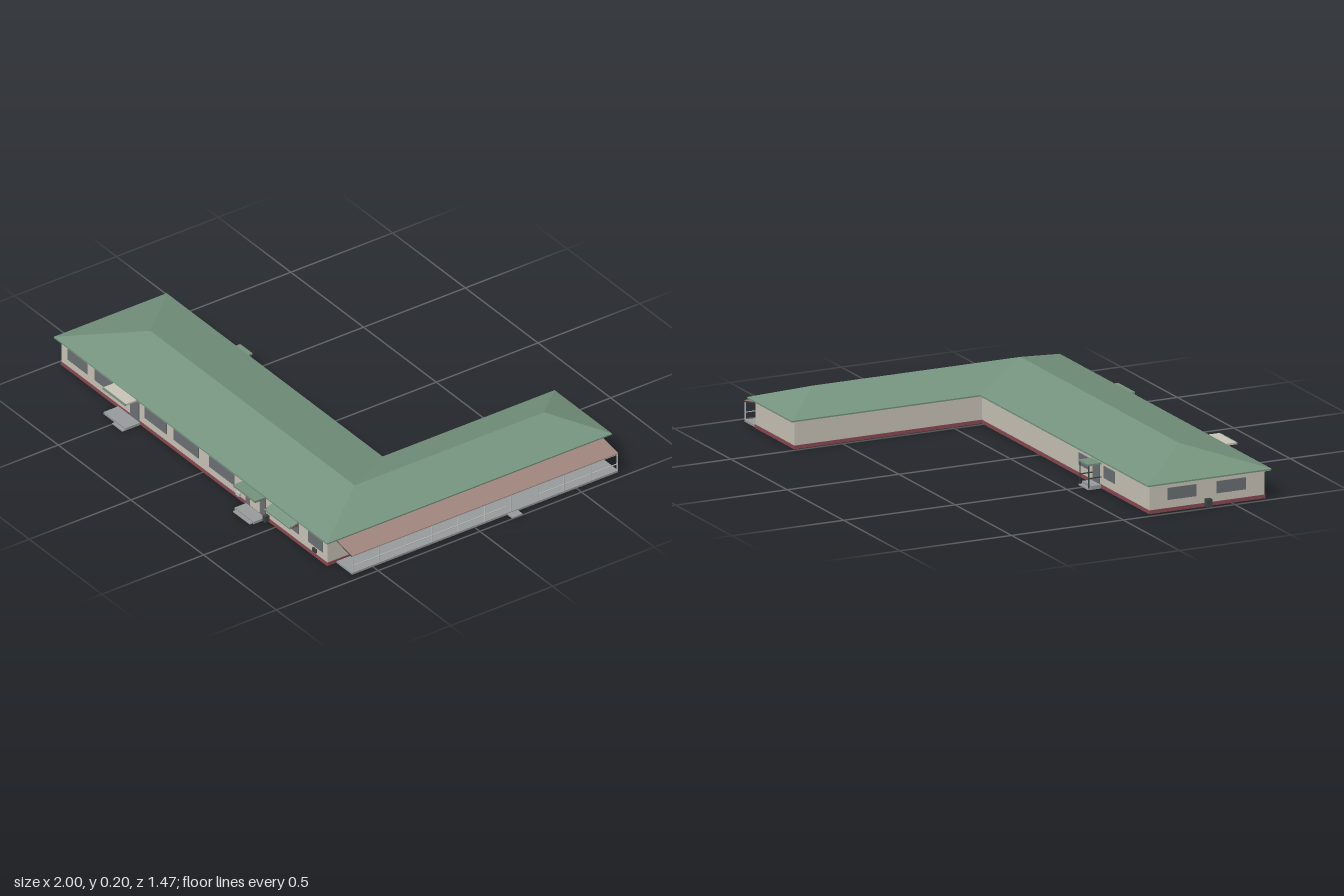
import * as THREE from 'three';

const mat = (name, color) => {
  const m = new THREE.MeshStandardMaterial({ color });
  m.name = name;
  return m;
};

export function createModel() {
  const group = new THREE.Group();
  const green = mat('roof green', 0x76957f);
  const wall = mat('wall cream', 0xcbc6b9);
  const glass = mat('window grey', 0x6d7276);
  const red = mat('plinth red', 0x8c4a53);
  const brown = mat('veranda roof brown', 0xa0877e);
  const concrete = mat('concrete grey', 0x9a9d9d);
  const dark = mat('dark metal', 0x3d4543);
  const pale = mat('pale rail', 0xc4c6c6);

  const add = (name, geo, material) => {
    const m = new THREE.Mesh(geo, material);
    m.name = name;
    group.add(m);
    return m;
  };
  // box given by its limits on each axis
  const box = (name, material, x0, x1, y0, y1, z0, z1) => {
    const g = new THREE.BoxGeometry(x1 - x0, y1 - y0, z1 - z0);
    g.translate((x0 + x1) / 2, (y0 + y1) / 2, (z0 + z1) / 2);
    return add(name, g, material);
  };
  // L-shaped prism over a plan of [x, z] corners
  const prism = (name, material, plan, y0, y1) => {
    const shape = new THREE.Shape(plan.map(([x, z]) => new THREE.Vector2(x, -z)));
    const g = new THREE.ExtrudeGeometry(shape, { depth: y1 - y0, bevelEnabled: false });
    g.rotateX(-Math.PI / 2).translate(0, y0, 0);
    return add(name, g, material);
  };
  const plan = (x0, x1, xi, zf, zi, zb) =>
    [[x0, zf], [x1, zf], [x1, zb], [xi, zb], [xi, zi], [x0, zi]];

  // walls, plinth and eaves
  prism('plinth', red, plan(-0.978, 0.858, 0.507, 0.648, 0.127, -0.713), 0.002, 0.017);
  prism('walls', wall, plan(-0.975, 0.855, 0.51, 0.645, 0.13, -0.71), 0.017, 0.121);
  const eave = plan(-1, 0.88, 0.485, 0.665, 0.11, -0.735);
  prism('soffit', wall, plan(-0.995, 0.875, 0.49, 0.66, 0.115, -0.73), 0.119, 0.122);
  prism('fascia', green, eave, 0.122, 0.128);

  // hipped roof with a valley at the inner corner
  const E = eave.map(([x, z]) => [x, 0.128, z]);
  const [P, Q, R] = [[-0.72, 0.2, 0.39], [0.685, 0.2, 0.39], [0.685, 0.2, -0.54]];
  const pos = [];
  for (const f of [[E[0], E[1], Q, P], [E[1], E[2], R, Q], [E[2], E[3], R],
    [E[3], E[4], Q, R], [E[4], E[5], P, Q], [E[5], E[0], P]]) {
    for (let i = 1; i < f.length - 1; i++) pos.push(...f[0], ...f[i], ...f[i + 1]);
  }
  const roof = new THREE.BufferGeometry();
  roof.setAttribute('position', new THREE.Float32BufferAttribute(pos, 3));
  roof.computeVertexNormals();
  add('roof', roof, green);

  // front windows
  for (const [a, b] of [[-0.93, -0.795], [-0.745, -0.62], [-0.4, -0.25], [-0.2, -0.03],
    [0.045, 0.215], [0.485, 0.66], [0.725, 0.825]]) {
    box('frontWindow', glass, a, b, 0.05, 0.1, 0.643, 0.648);
  }
  // left end windows and utility box
  for (const [a, b] of [[0.21, 0.34], [0.43, 0.56]]) {
    box('endWindow', glass, -0.978, -0.973, 0.05, 0.1, a, b);
  }
  box('utilityBox', dark, -1, -0.978, 0.004, 0.036, 0.375, 0.4);
  // back windows
  for (const [a, b] of [[-0.67, -0.575], [-0.445, -0.35]]) {
    box('backWindow', glass, a, b, 0.05, 0.1, 0.127, 0.132);
  }

  // first front entrance
  box('sideDoor', glass, -0.495, -0.437, 0.015, 0.1, 0.643, 0.65);
  box('sideWindow', green, -0.575, -0.515, 0.05, 0.09, 0.643, 0.648);
  box('sideCanopy', wall, -0.585, -0.43, 0.117, 0.125, 0.645, 0.717);
  box('sideCanopyEdge', green, -0.585, -0.43, 0.117, 0.125, 0.717, 0.722);
  box('sideLanding', concrete, -0.58, -0.43, 0, 0.011, 0.645, 0.72);
  box('sideStep', concrete, -0.5, -0.43, 0, 0.005, 0.72, 0.735);

  // main front entrance
  box('mainDoorFrame', glass, 0.297, 0.432, 0.015, 0.101, 0.643, 0.65);
  box('mainDoor', wall, 0.333, 0.397, 0.017, 0.088, 0.648, 0.652);
  box('mainCanopy', green, 0.29, 0.44, 0.106, 0.114, 0.645, 0.705);
  box('mainCanopyUnderside', red, 0.292, 0.438, 0.103, 0.106, 0.645, 0.703);
  box('mainLanding', concrete, 0.3, 0.432, 0, 0.011, 0.645, 0.705);
  box('mainStep', concrete, 0.31, 0.425, 0, 0.005, 0.705, 0.72);
  box('bin', dark, 0.443, 0.46, 0.008, 0.036, 0.648, 0.67);

  // window awning, sloping outward
  const awning = box('awning', green, -0.088, 0.088, -0.003, 0.003, 0, 0.048);
  awning.position.set(0.57, 0.104, 0.644);
  awning.rotation.x = 0.3;
  for (const x of [0.484, 0.652]) box('awningBracket', red, x, x + 0.005, 0.087, 0.096, 0.645, 0.685);

  // small wall boxes
  box('wallBox', pale, 0.235, 0.26, 0.02, 0.036, 0.645, 0.655);
  for (const x of [0.76, 0.775]) box('meter', dark, x, x + 0.009, 0.025, 0.042, 0.645, 0.653);

  // back entrance
  box('backDoor', glass, -0.535, -0.48, 0.015, 0.095, 0.126, 0.132);
  box('backCanopy', green, -0.55, -0.465, 0.1, 0.107, 0.07, 0.13);
  box('backLanding', concrete, -0.55, -0.465, 0.006, 0.016, 0.085, 0.13);
  box('backStep', concrete, -0.55, -0.465, 0, 0.006, 0.07, 0.13);
  for (const x of [-0.548, -0.47]) {
    box('backPost', dark, x, x + 0.004, 0.006, 0.1, 0.073, 0.077);
    box('backRail', dark, x, x + 0.004, 0.045, 0.049, 0.075, 0.13);
  }

  // veranda deck, step and sloping roof
  box('verandaDeck', concrete, 0.858, 0.965, 0, 0.009, -0.705, 0.602);
  box('verandaStep', concrete, 0.965, 1, 0, 0.006, -0.21, -0.16);
  const shed = new THREE.Shape([[0.855, 0.107], [0.965, 0.087], [0.965, 0.09], [0.855, 0.111]]
    .map(([x, y]) => new THREE.Vector2(x, y)));
  const shedGeo = new THREE.ExtrudeGeometry(shed, { depth: 1.307, bevelEnabled: false });
  add('verandaRoof', shedGeo.translate(0, 0, -0.705), brown);
  box('verandaDoor', glass, 0.853, 0.859, 0.012, 0.086, -0.2, -0.157);

  // veranda posts, rafters and rails
  for (let i = 0; i <= 10; i++) {
    const z = 0.598 - i * 0.13;
    box('verandaPost', pale, 0.96, 0.964, 0.009, 0.088, z - 0.002, z + 0.002);
    const rafter = box('rafter', dark, -0.054, 0.054, -0.003, 0.003, -0.003, 0.003);
    rafter.position.set(0.909, 0.0945, z);
    rafter.rotation.z = -0.18;
  }
  for (const [a, b] of [[-0.703, -0.31], [-0.155, 0.6]]) {
    box('verandaRail', pale, 0.961, 0.964, 0.038, 0.041, a, b);
  }
  box('verandaBeam', pale, 0.96, 0.964, 0.083, 0.087, -0.703, 0.6);
  return group;
}
